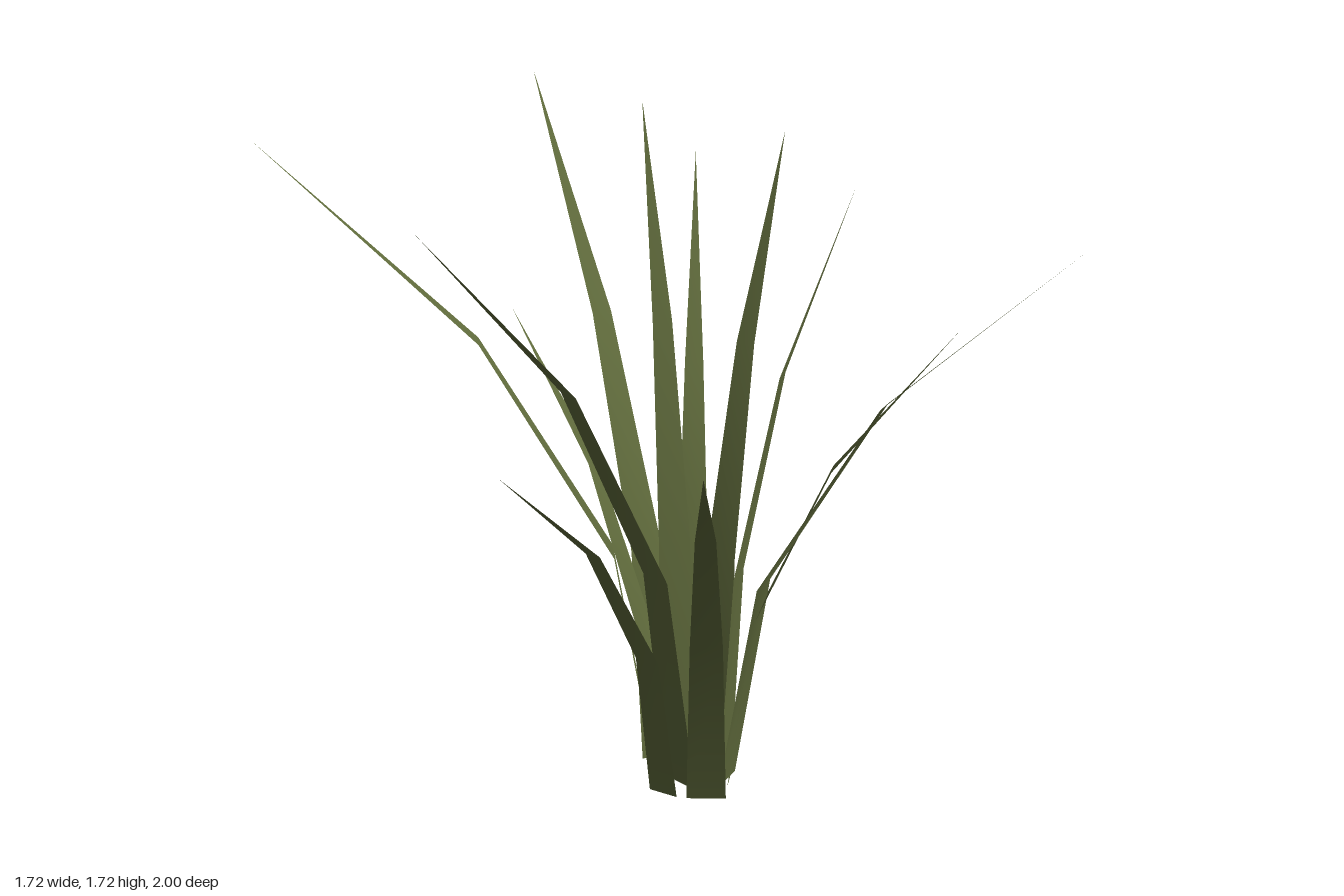
import * as THREE from 'three';

const leafGreen = new THREE.MeshStandardMaterial({ color: 0x606b3c, side: THREE.DoubleSide });
leafGreen.name = 'leafGreen';

// Bend shared by all blades: [outward fraction, height fraction, width fraction]
const BEND = [[0, 0, 1], [0.106, 0.355, 0.82], [0.447, 0.692, 0.5], [1, 1, 0]];

// Each blade: base x, base z, tip x, tip y, tip z, base width
const BLADES = [
  [0.07, -0.11, -0.525, 1.72, -0.865, 0.1],
  [0.12, -0.125, 0.77, 1.52, -1, 0.1],
  [0.19, -0.075, 0.855, 1.36, -0.53, 0.095],
  [0.07, -0.105, 0.02, 1.19, -0.505, 0.085],
  [0.12, -0.07, 0.34, 1.685, -0.335, 0.1],
  [0.03, 0, -0.785, 1.715, -0.16, 0.105],
  [-0.04, -0.005, -0.755, 1.155, 0.04, 0.08],
  [0, 0.1, -0.865, 1.36, 0.685, 0.1],
  [0.12, 0.09, 0.37, 1.28, 0.59, 0.085],
  [0.115, 0.085, 0.25, 1.615, 1, 0.095],
  [0.18, -0.005, 0.615, 1.575, -0.09, 0.095],
  [0.12, 0.075, 0.2, 1.645, 0.385, 0.09],
];

// Flat ribbon, bending outward and tapering to a point, upper side facing out
function bladeGeometry([bx, bz, tx, ty, tz, width]) {
  const dx = tx - bx, dz = tz - bz, length = Math.hypot(dx, dz);
  const sideX = -dz / length, sideZ = dx / length;
  const points = [], index = [];
  for (const [out, up, w] of BEND) {
    for (const s of [-0.5, 0.5]) {
      const offset = s * w * width;
      points.push(bx + dx * out + sideX * offset, ty * up, bz + dz * out + sideZ * offset);
    }
  }
  for (let i = 0; i < BEND.length - 1; i++) {
    const a = i * 2;
    index.push(a, a + 1, a + 2);
    index.push(a + 1, a + 3, a + 2);
  }
  const geometry = new THREE.BufferGeometry();
  geometry.setAttribute('position', new THREE.Float32BufferAttribute(points, 3));
  geometry.setIndex(index);
  geometry.computeVertexNormals();
  // both tip corners coincide, so they share one normal
  const normal = geometry.attributes.normal, tip = BEND.length * 2 - 1;
  normal.setXYZ(tip, normal.getX(tip - 1), normal.getY(tip - 1), normal.getZ(tip - 1));
  return geometry;
}

export function createModel() {
  const tuft = new THREE.Group();
  tuft.name = 'grassTuft';
  BLADES.forEach((blade, i) => {
    const mesh = new THREE.Mesh(bladeGeometry(blade), leafGreen);
    mesh.name = `blade${i + 1}`;
    tuft.add(mesh);
  });
  return tuft;
}
